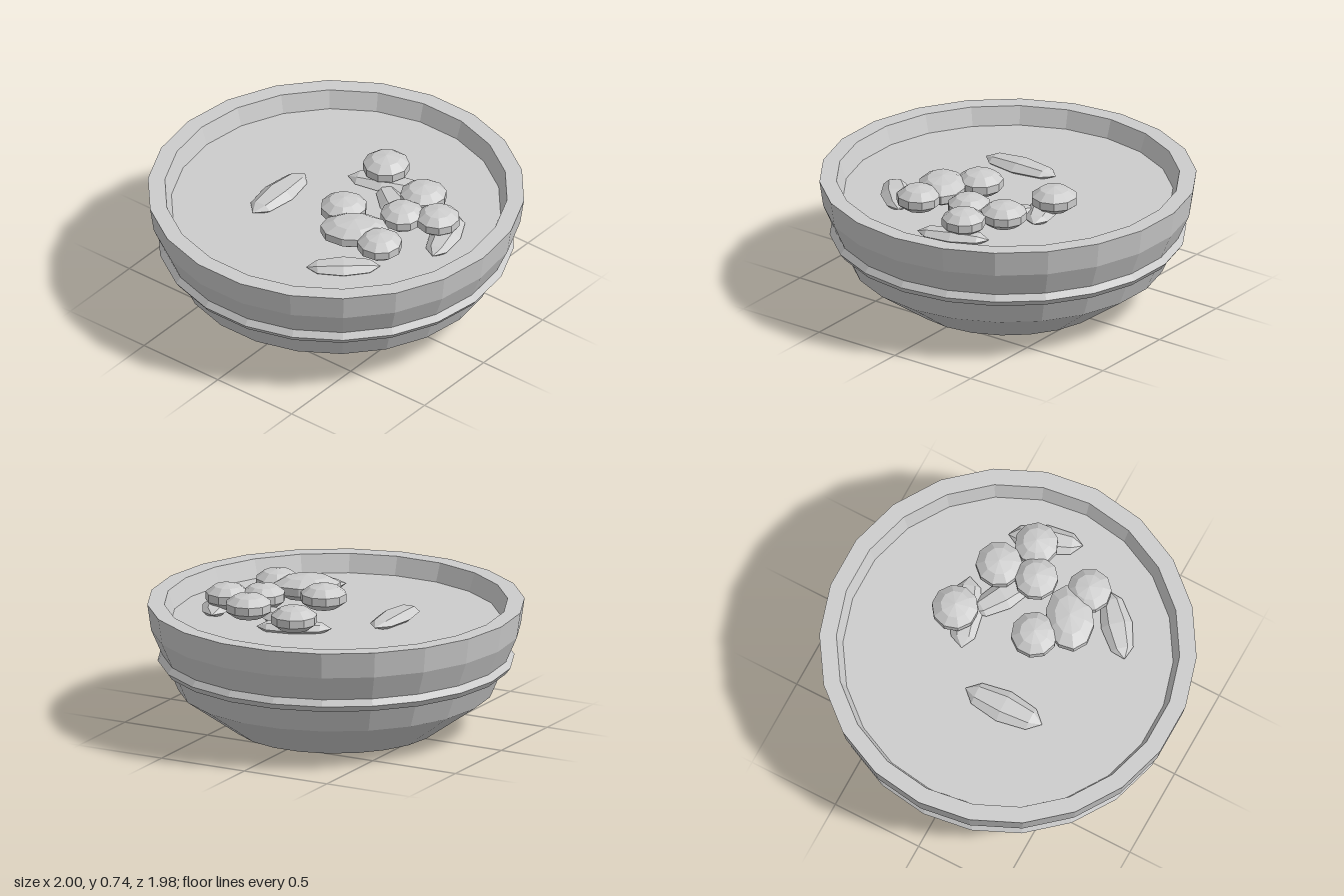
import * as THREE from 'three';

const SIDES = 22;

// Facet a geometry so every face has its own normal
function faceted(geometry) {
  const g = geometry.index ? geometry.toNonIndexed() : geometry;
  g.computeVertexNormals();
  return g;
}

export function createModel() {
  const group = new THREE.Group();
  group.name = 'soupBowl';
  const clay = new THREE.MeshStandardMaterial({ color: 0xcccccc });
  clay.name = 'plain grey';

  function add(name, geometry) {
    const mesh = new THREE.Mesh(faceted(geometry), clay);
    mesh.name = name;
    group.add(mesh);
    return mesh;
  }

  function lathe(points) {
    const profile = points.map(([r, y]) => new THREE.Vector2(r, y));
    return new THREE.LatheGeometry(profile, SIDES, Math.PI / 2);
  }

  // Bowl shell: foot, flared sides, flat rim and inner wall
  add('bowl', lathe([
    [0, 0], [0.545, 0], [0.835, 0.205], [0.98, 0.54], [1, 0.68],
    [0.91, 0.68], [0.875, 0.583],
  ]));

  // Soup surface
  add('soup', lathe([[0.877, 0.583], [0, 0.583]]));

  // Raised band around the outside
  const band = new THREE.TorusGeometry(0.911, 0.035, 5, SIDES);
  band.rotateX(-Math.PI / 2);
  add('band', band).position.y = 0.372;

  // Round toppings: x, z, half length, half width, turn
  const toppings = [
    [0.06, -0.35, 0.13, 0.13, 0],
    [0.385, -0.26, 0.13, 0.13, 0.2],
    [0.58, -0.14, 0.122, 0.122, 0.4],
    [0.41, -0.05, 0.122, 0.122, 0.1],
    [0.125, 0.09, 0.13, 0.13, 0.3],
    [0.295, 0.213, 0.19, 0.135, 0.6],
    [0.48, 0.23, 0.125, 0.125, 0.15],
  ];
  for (const [x, z, a, b, turn] of toppings) {
    const ball = new THREE.SphereGeometry(1, 10, 5);
    ball.scale(a, 0.07, b);
    ball.rotateY(turn);
    add('topping', ball).position.set(x, 0.665, z);
  }

  // Pointed leaves lying on the soup: two tips (x, z) and half width
  const leaves = [
    [-0.29, -0.1, -0.28, 0.355, 0.092],
    [-0.1, -0.225, 0.275, -0.375, 0.09],
    [0.1, -0.27, 0.42, -0.07, 0.08],
    [0.58, -0.31, 0.71, 0.07, 0.085],
    [0.25, 0.565, 0.55, 0.31, 0.085],
  ];
  for (const [x1, z1, x2, z2, width] of leaves) {
    const leaf = new THREE.SphereGeometry(1, 6, 4);
    leaf.rotateX(Math.PI / 2);
    leaf.scale(width, 0.04, Math.hypot(x2 - x1, z2 - z1) / 2);
    leaf.rotateY(Math.atan2(x2 - x1, z2 - z1));
    add('leaf', leaf).position.set((x1 + x2) / 2, 0.6, (z1 + z2) / 2);
  }

  return group;
}
